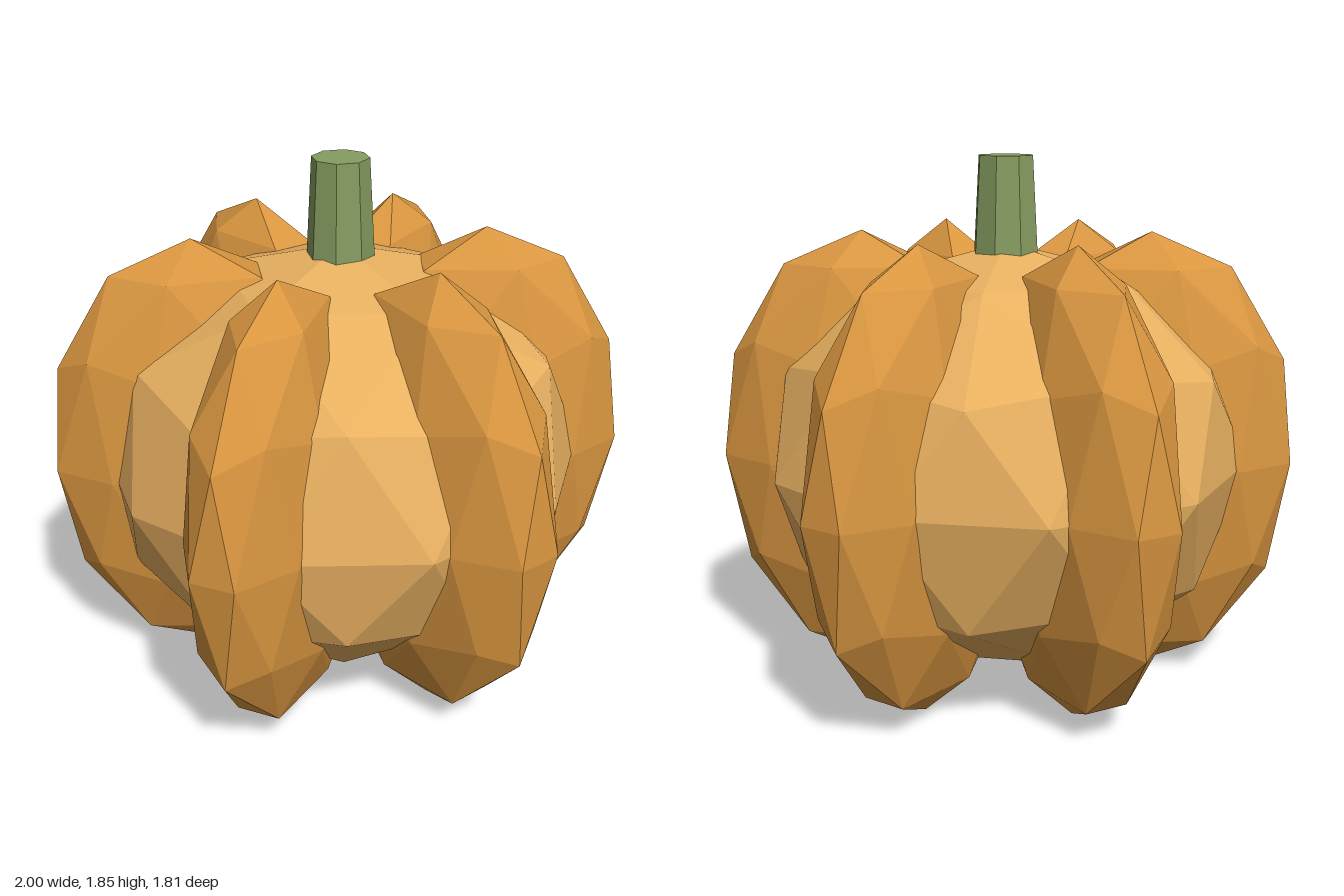
import * as THREE from 'three';

const paint = (color) => new THREE.MeshStandardMaterial({ color, flatShading: true });

// Low-poly ball with one corner straight up, stretched into an ellipsoid
function facetedBall(rx, ry, rz) {
  const ball = new THREE.IcosahedronGeometry(1, 1);
  ball.rotateZ(-Math.atan2(2, 1 + Math.sqrt(5)));
  ball.scale(rx, ry, rz);
  return ball;
}

export function createModel() {
  const pumpkin = new THREE.Group();
  pumpkin.name = 'pumpkin';

  // Paler round body between the ribs
  const core = new THREE.Mesh(facetedBall(0.853, 0.75, 0.853), paint(0xe8b060));
  core.name = 'core';
  core.position.y = 0.8;
  pumpkin.add(core);

  // Six narrow ribs around the body
  const ribGeometry = facetedBall(0.526, 0.795, 0.247);
  ribGeometry.translate(0.5, 0.795, 0);
  const ribMaterial = paint(0xd99640);
  for (let i = 0; i < 6; i++) {
    const rib = new THREE.Mesh(ribGeometry, ribMaterial);
    rib.name = `rib${i + 1}`;
    rib.rotation.y = (i * Math.PI) / 3;
    pumpkin.add(rib);
  }

  // Tapered eight-sided stem, sunk a little into the body
  const stem = new THREE.Mesh(new THREE.CylinderGeometry(0.097, 0.119, 0.4, 8), paint(0x869c60));
  stem.name = 'stem';
  stem.position.y = 1.645;
  pumpkin.add(stem);

  return pumpkin;
}
